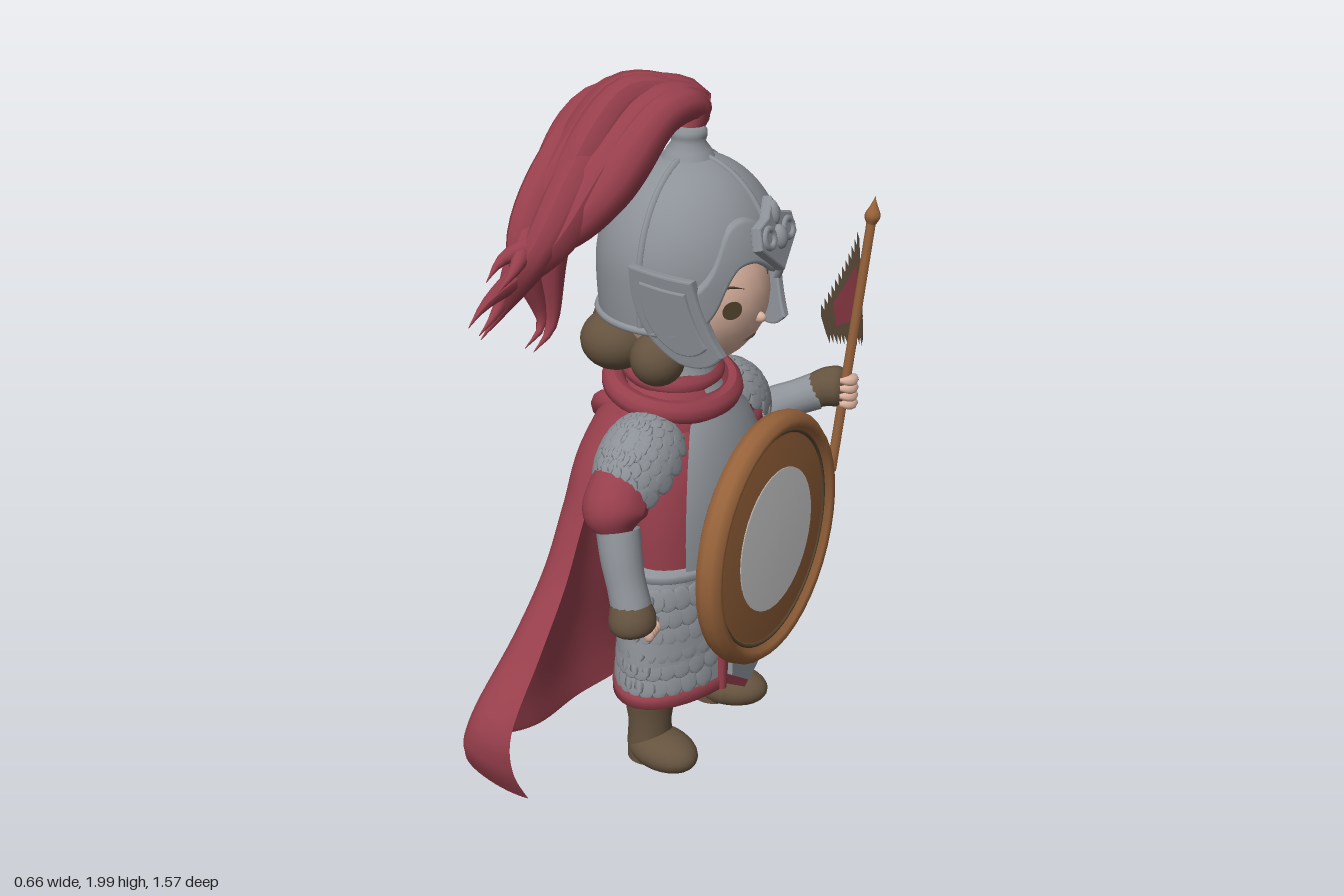
import * as THREE from 'three';
import { mergeGeometries } from 'three/addons/utils/BufferGeometryUtils.js';
import { ParametricGeometry } from 'three/addons/geometries/ParametricGeometry.js';

const V = (x, y, z) => new THREE.Vector3(x, y, z);
const lerp = THREE.MathUtils.lerp;

// Smooth lookup in a small table of numbers, t from 0 to 1
function sample(list, t) {
  const n = list.length - 1, f = Math.min(Math.max(t, 0), 1) * n, i = Math.min(Math.floor(f), n - 1), k = f - i;
  const a = list[Math.max(i - 1, 0)], b = list[i], c = list[i + 1], d = list[Math.min(i + 2, n)];
  return b + 0.5 * k * (c - a + k * (2 * a - 5 * b + 4 * c - d + k * (3 * (b - c) + d - a)));
}
// Tube along a smooth path with a changing radius
function taper(points, radii, seg = 20, sides = 10) {
  const curve = new THREE.CatmullRomCurve3(points.map(p => V(...p)));
  const g = new THREE.TubeGeometry(curve, seg, 1, sides), p = g.attributes.position, v = V();
  for (let i = 0; i < p.count; i++) {
    const t = Math.floor(i / (sides + 1)) / seg, c = curve.getPointAt(t);
    v.fromBufferAttribute(p, i).sub(c).multiplyScalar(sample(radii, t)).add(c);
    p.setXYZ(i, v.x, v.y, v.z);
  }
  g.computeVertexNormals();
  return g;
}
function lathe(pts, sz = 1, start = 0, len = Math.PI * 2) {
  return new THREE.LatheGeometry(pts.map(p => new THREE.Vector2(...p)), 40, start, len).scale(1, 1, sz);
}
const ball = (x, y, z, a, b = a, c = a) => new THREE.SphereGeometry(1, 24, 16).scale(a, b, c).translate(x, y, z);
const surface = (f, nu, nv) => new ParametricGeometry((u, v, t) => t.copy(f(u, v)), nu, nv);

// Helmet shell: a is the angle from the front, th the angle down from the top
const edgeY = a => {
  const k = Math.abs(a);
  return k > 1.2 ? 1.36 : sample([1.5, 1.535, 1.545, 1.52, 1.42, 1.37, 1.36], k / 1.2);
};
const edgeTheta = a => {
  const d = (edgeY(a) - 1.49) / 0.29;
  return d > 0 ? Math.acos(d) : Math.PI / 2 - d;
};
function dome(a, th, off = 0) {
  const over = Math.max(0, th - Math.PI / 2);
  const r = over ? 1 - 0.12 * over * over : Math.sin(th);
  const y = over ? -0.29 * over : (0.29 + off) * Math.cos(th);
  return V((0.265 + off) * r * Math.sin(a), 1.49 + y, 0.03 + (0.25 + off) * r * Math.cos(a));
}

export function createModel() {
  const mat = (name, color, double) => {
    const m = new THREE.MeshStandardMaterial({ color });
    m.name = name;
    if (double) m.side = THREE.DoubleSide;
    return m;
  };
  const red = mat('red cloth', 0x973f4c, true), steel = mat('steel', 0x8d9298, true);
  const brown = mat('brown leather', 0x65533f, true), wood = mat('wood', 0x96623a);
  const skin = mat('skin', 0xd8b09d), white = mat('shield face', 0xd6d6d6), dark = mat('dark brown', 0x54432f);

  const model = new THREE.Group(), figure = new THREE.Group();
  model.name = 'warrior';
  figure.name = 'figure';
  model.add(figure);
  figure.position.x = -0.05;
  model.rotation.y = Math.PI / 2;
  const add = (name, g, m) => {
    const mesh = new THREE.Mesh(g, m);
    mesh.name = name;
    figure.add(mesh);
    return mesh;
  };

  // Head and face
  add('head', ball(0, 1.4, 0.03, 0.215, 0.21, 0.22), skin);
  add('nose', ball(0, 1.355, 0.242, 0.014, 0.016, 0.022), skin);
  add('hair', ball(0, 1.44, 0, 0.235, 0.2, 0.22), brown);
  const faceZ = (x, y) => 0.03 + 0.22 * Math.sqrt(1 - (x / 0.215) ** 2 - ((y - 1.4) / 0.21) ** 2);
  const faceLine = (pts, r) => taper(pts.map(([x, y]) => [x, y, faceZ(x, y)]), [0.001, r, 0.001], 12, 6);
  for (const s of [-1, 1]) {
    const eye = add('eye', new THREE.CircleGeometry(0.03, 20).scale(1, 0.85, 1), dark), x = s * 0.11, y = 1.405;
    const n = V(x / 0.215 ** 2, 0, (faceZ(x, y) - 0.03) / 0.22 ** 2).normalize();
    eye.quaternion.setFromUnitVectors(V(0, 0, 1), n);
    eye.position.set(x, y, faceZ(x, y)).addScaledVector(n, 0.005);
    add('eyebrow', faceLine([[s * 0.065, 1.453], [s * 0.11, 1.465], [s * 0.15, 1.45]], 0.004), dark);
    add('sideBun', ball(s * 0.19, 1.26, 0.04, 0.075), brown);
    add('backBun', ball(s * 0.14, 1.27, -0.12, 0.1, 0.085, 0.1), brown);
  }
  add('mouth', faceLine([[-0.035, 1.292], [0, 1.295], [0.035, 1.292]], 0.0045), dark);
  add('middleBun', ball(0, 1.27, -0.17, 0.1, 0.085, 0.1), brown);

  // Helmet with brow band, rim and ridges
  const turn = u => (u - 0.5) * Math.PI * 2;
  add('helmet', surface((u, v) => dome(turn(u), v * edgeTheta(turn(u))), 64, 24), steel);
  add('browBand', surface((u, v) => {
    const a = (u - 0.5) * 2.6, e = edgeTheta(a);
    return dome(a, lerp(e - 0.4, e, v), 0.012 * Math.min(1, v * 8));
  }, 40, 10), steel);
  const arc = (n, f) => Array.from({ length: n + 1 }, (_, i) => f(i / n).toArray());
  add('helmetRim', taper(arc(48, u => dome(turn(u), edgeTheta(turn(u)), 0.002)), [0.01, 0.01], 120, 8), steel);
  for (let i = 0; i < 4; i++) {
    const a = i * Math.PI / 2;
    add('helmetRidge', taper(arc(12, u => dome(a, lerp(0.08, edgeTheta(a) - 0.04, u))), [0.009, 0.009], 24, 8), steel);
  }
  add('plumeSocket', lathe([[0.075, 1.76], [0.06, 1.79], [0.045, 1.81], [0.05, 1.825], [0.05, 1.84], [0.04, 1.85], [0, 1.85]])
    .translate(0, 0, 0.025), steel);

  // Brow emblem
  const leaf = new THREE.Shape([[0, 0.1], [0.035, 0.05], [0.09, 0.035], [0.1, -0.02], [0.05, -0.06], [0, -0.1],
    [-0.05, -0.06], [-0.1, -0.02], [-0.09, 0.035], [-0.035, 0.05]].map(p => new THREE.Vector2(...p)));
  const emblem = new THREE.ExtrudeGeometry(leaf, { depth: 0.015, bevelSize: 0.005, bevelThickness: 0.008, bevelSegments: 2 });
  const curls = [emblem, ball(0, -0.01, 0.025, 0.025, 0.035, 0.02), ball(0, 0.06, 0.02, 0.018, 0.035, 0.015)].map(g => g.toNonIndexed());
  for (const s of [-1, 1]) curls.push(new THREE.TorusGeometry(0.026, 0.01, 8, 20).translate(s * 0.055, 0, 0.022).toNonIndexed());
  add('browEmblem', mergeGeometries(curls).scale(0.95, 0.95, 1).rotateX(-0.22).translate(0, 1.595, 0.275), steel);

  // Flared cheek guards
  const guard = new THREE.Shape();
  guard.moveTo(0.03, 1.55);
  guard.quadraticCurveTo(0.1, 1.52, 0.17, 1.51);
  guard.quadraticCurveTo(0.19, 1.38, 0.23, 1.3);
  guard.quadraticCurveTo(0.19, 1.25, 0.13, 1.28);
  guard.quadraticCurveTo(0.02, 1.36, 0.03, 1.55);
  for (const s of [-1, 1]) for (const [k, d] of [[1, 0.018], [0.72, 0.026]]) {
    const g = new THREE.ExtrudeGeometry(guard, { depth: d, bevelSize: 0.006, bevelThickness: 0.006, bevelSegments: 2, curveSegments: 10 });
    const p = g.attributes.position;
    for (let i = 0; i < p.count; i++) {
      const z = lerp(0.12, p.getX(i), k), y = lerp(1.4, p.getY(i), k);
      p.setXYZ(i, s * (0.255 - 0.4 * (z - 0.05) + 0.15 * (y - 1.4) + p.getZ(i)), y, z);
    }
    g.computeVertexNormals();
    add('cheekGuard', g, steel);
  }

  // Plume of tapering strands with flicked tips
  const tips = [[-0.56, 1.54, -0.24], [-0.55, 1.4, -0.31], [-0.5, 1.35, -0.31], [-0.42, 1.31, -0.2], [-0.57, 1.52, -0.2],
    [-0.43, 1.32, -0.22], [-0.52, 1.37, -0.3]];
  tips.forEach(([x, y, z], i) => {
    const w = i / 3 - 1, o = (i % 3 - 1) * 0.035;
    add('plumeStrand', taper([[0, 1.82, 0.02], [0.04 + o * 0.6, 1.9, 0.01 - w * 0.03], [-0.07 + o, 1.94 - w * w * 0.04, -0.09 - w * 0.1],
      [-0.23 + o, 1.81 + o - w * w * 0.05, -0.15 - w * 0.085], [lerp(-0.34, x, 0.2) - o, lerp(1.65, y, 0.2), -0.2 - w * 0.06],
      [x + 0.08, y + 0.04, z], [x, y, z]], [0.03, 0.045, 0.055, 0.064, 0.06, 0.046, 0.024, 0.001], 32), red);
  });

  // Torso, breastplate and collar
  add('tunic', lathe([[0.26, 0.6], [0.27, 0.75], [0.255, 0.88], [0.23, 0.97], [0.17, 1.06], [0.08, 1.13]], 0.58).translate(0, 0, 0.045), red);
  add('breastplate', lathe([[0.285, 0.62], [0.292, 0.75], [0.275, 0.86], [0.245, 0.95], [0.2, 1.03], [0.15, 1.08]], 0.6, -0.95, 1.9)
    .translate(0, 0, 0.052), steel);
  add('neckCollar', lathe([[0.11, 1.12], [0.085, 1.16], [0.08, 1.2]], 0.9).translate(0, 0, 0.02), steel);
  add('mantle', lathe([[0.25, 1.045], [0.235, 1.085], [0.19, 1.135], [0.1, 1.18]], 0.68).translate(0, 0, -0.025), red);
  for (const [r, y, t, dip] of [[0.195, 1.115, 0.034, 0.035], [0.14, 1.165, 0.028, 0.025]])
    add('scarf', taper(arc(16, u => V(r * Math.sin(turn(u)), y - dip * Math.cos(turn(u)), -0.025 + r * 0.78 * Math.cos(turn(u)))), [t, t], 40), red);

  // Overlapping scales laid on a surface: f(u, v) gives the point and its outward direction
  function scales(name, f, rows, cols) {
    const list = [], q = new THREE.Quaternion();
    for (let r = 0; r < rows; r++) for (let c = 0; c < cols; c++) {
      const { p, n } = f((c + (r % 2 ? 0.75 : 0.25)) / cols, (r + 0.5) / rows);
      const m = new THREE.Matrix4().compose(p, q.setFromUnitVectors(V(0, 0, 1), n.normalize()), V(0.032, 0.036, 0.005));
      list.push(new THREE.SphereGeometry(1, 8, 6).applyMatrix4(m));
    }
    return add(name, mergeGeometries(list), steel);
  }

  // Armoured skirt, open at the front, with red hem
  const gap = 0.42, wrap = Math.PI * 2 - gap * 2, sz = 0.5, zc = 0.055;
  add('underSkirt', lathe([[0.33, 0.31], [0.3, 0.45], [0.26, 0.66]], sz).translate(0, 0, zc), red);
  add('armourSkirt', lathe([[0.355, 0.3], [0.345, 0.45], [0.315, 0.6], [0.285, 0.66]], sz, gap, wrap).translate(0, 0, zc), steel);
  add('skirtHem', lathe([[0.345, 0.265], [0.367, 0.27], [0.367, 0.3], [0.35, 0.31]], sz, gap, wrap).translate(0, 0, zc), red);
  add('waistBelt', lathe([[0.29, 0.63], [0.31, 0.64], [0.305, 0.66], [0.28, 0.67]], 0.55).translate(0, 0, zc), steel);
  scales('skirtScales', (u, v) => {
    const a = gap + 0.08 + u * (wrap - 0.16), r = lerp(0.353, 0.318, v);
    return { p: V(r * Math.sin(a), lerp(0.31, 0.62, v), zc + r * sz * Math.cos(a)), n: V(Math.sin(a) * sz, 0.1, Math.cos(a)) };
  }, 6, 28);
  for (const s of [-1, 1]) {
    const at = (r, y) => [s * r * Math.sin(gap), y, zc + r * sz * Math.cos(gap)];
    add('skirtEdge', taper([at(0.36, 0.27), at(0.35, 0.45), at(0.29, 0.66)], [0.014, 0.014], 12, 8), red);
  }
  for (const [k, z, m] of [[0, 0.2, red], [0.02, 0.215, steel]]) {
    const flap = new THREE.Shape([[-0.1 + k, 0.64], [-0.125 + k, 0.27 + k], [0, 0.19 + k * 1.4], [0.125 - k, 0.27 + k], [0.1 - k, 0.64]]
      .map(p => new THREE.Vector2(...p)));
    add('frontFlap', new THREE.ExtrudeGeometry(flap, { depth: 0.015, bevelEnabled: false }).translate(0, 0, z), m);
  }

  // Legs, boots and shoulder guards
  for (const s of [-1, 1]) {
    add('breeches', taper([[s * 0.15, 0.5, 0.03], [s * 0.17, 0.36, 0.03], [s * 0.185, 0.26, 0.02], [s * 0.19, 0.19, 0.015]],
      [0.1, 0.125, 0.13, 0.115, 0.06], 20, 20), red);
    const foot = ball(0, 0.04, 0.05, 0.08, 0.06, 0.12), p = foot.attributes.position;
    for (let i = 0; i < p.count; i++) p.setY(i, Math.max(0, p.getY(i)));
    foot.computeVertexNormals();
    const boot = mergeGeometries([foot, lathe([[0.066, 0], [0.066, 0.06], [0.062, 0.12], [0.072, 0.19], [0.076, 0.21], [0.05, 0.215]])]);
    add('boot', boot.rotateY(s * 0.22).translate(s * 0.19, 0, 0.005), brown);
    const pad = new THREE.Group(), size = V(0.165, 0.14, 0.115);
    pad.name = 'shoulderGuard';
    const shell = add('shoulderShell', new THREE.SphereGeometry(1, 28, 12, 0, Math.PI * 2, 0, 1.5).scale(...size.toArray()), steel);
    const plates = scales('shoulderScales', (u, v) => {
      const a = u * Math.PI * 2, t = lerp(1.45, 0.2, v), d = V(Math.sin(t) * Math.sin(a), Math.cos(t), Math.sin(t) * Math.cos(a));
      return { p: d.clone().multiply(size), n: d.divide(size) };
    }, 5, 16);
    pad.add(shell, plates);
    pad.position.set(s * 0.24, 0.955, 0.015);
    pad.rotation.z = -s * 0.6;
    figure.add(pad);
  }

  // Arms: right hangs down, left is raised to hold the banner
  add('rightSleeve', taper([[-0.25, 1.0, 0.01], [-0.335, 0.93, 0.01], [-0.38, 0.87, 0.015], [-0.4, 0.805, 0.035]], [0.07, 0.08, 0.088, 0.083, 0.03], 20, 16), red);
  add('leftSleeve', taper([[0.25, 1.0, 0.01], [0.32, 0.94, 0.0], [0.355, 0.89, 0.025], [0.395, 0.89, 0.06]], [0.07, 0.08, 0.086, 0.08, 0.03], 20, 16), red);
  add('rightBracer', taper([[-0.4, 0.84, 0.04], [-0.42, 0.75, 0.065], [-0.435, 0.64, 0.1]], [0.06, 0.058, 0.054, 0.056], 12, 16), steel);
  add('leftBracer', taper([[0.375, 0.88, 0.04], [0.44, 0.91, 0.1], [0.495, 0.94, 0.175]], [0.06, 0.06, 0.054, 0.056], 12, 16), steel);
  add('rightGlove', taper([[-0.435, 0.66, 0.09], [-0.44, 0.61, 0.105], [-0.44, 0.545, 0.115]], [0.05, 0.06, 0.066, 0.055, 0.001], 14, 16), brown);
  add('leftGlove', taper([[0.485, 0.935, 0.16], [0.508, 0.957, 0.21], [0.525, 0.967, 0.285]], [0.05, 0.055, 0.06, 0.055, 0.001], 14, 16), brown);
  for (let i = 0; i < 4; i++) {
    const y = 0.925 + i * 0.025;
    add('leftFinger', taper([[0.525, y, 0.27], [0.515, y, 0.288], [0.49, y, 0.293], [0.472, y, 0.265]], [0.008, 0.016, 0.016, 0.008], 10, 8), skin);
    add('rightFinger', ball(-0.392 - i * 0.011, 0.57 - i * 0.003, 0.148, 0.013, 0.02, 0.016), skin);
  }

  // Cape: rows of height, left and right reach, side depth and back depth; wings sweep back, then curl forward
  const capeY = [1.15, 0.98, 0.82, 0.66, 0.5, 0.34, 0.22, 0.11];
  const capeL = [0.18, 0.32, 0.39, 0.47, 0.59, 0.72, 0.735, 0.69], capeR = [0.18, 0.29, 0.32, 0.37, 0.44, 0.53, 0.59, 0.59];
  const capeSide = [0.0, -0.06, -0.08, -0.09, -0.1, -0.11, -0.11, -0.1], capeBack = [-0.17, -0.23, -0.23, -0.22, -0.22, -0.23, -0.23, -0.22];
  add('cape', surface((u, v) => {
    const s = u * 2 - 1, m = Math.abs(s), th = 1.45 + 0.4 * v, w = sample(s < 0 ? capeL : capeR, v);
    const round = (1 - Math.cos(s * th)) / (1 - Math.cos(th)), bend = lerp(round, m ** 6, v);
    const wing = v * v * Math.sin(Math.PI * m ** 1.6) ** 2, fold = 0.016 * v * Math.cos(s * 17) * (1 - m);
    const hem = 0.02 * (1 - s * s) + 0.05 * wing - 0.02 * m ** 8;
    return V(w * Math.sin(s * th) * (1 + fold), sample(capeY, v) + hem * v ** 3,
      lerp(sample(capeBack, v), sample(capeSide, v), bend) - 0.11 * wing + fold);
  }, 90, 40), red);
  for (let i = 0; i < 3; i++) {
    const y = 1.06 - i * 0.09, w = 0.18 + i * 0.04;
    add('capeSwag', taper([[-w, 1.1 - i * 0.03, -0.04], [-w * 0.75, y + 0.01, -0.16], [0, y - 0.06, -0.225], [w * 0.75, y + 0.01, -0.16], [w, 1.1 - i * 0.03, -0.04]],
      [0.01, 0.035, 0.042, 0.035, 0.01], 28), red);
  }

  // Round shield
  const shield = new THREE.Group();
  shield.name = 'shield';
  const ring = (name, pts, m) => shield.add(add(name, lathe(pts).rotateX(Math.PI / 2), m));
  ring('shieldRim', [[0.29, 0.01], [0.335, 0], [0.358, 0.012], [0.367, 0.035], [0.363, 0.06], [0.345, 0.08], [0.325, 0.076], [0.312, 0.055],
    [0.3, 0.06], [0.2, 0.066]], wood);
  ring('shieldFace', [[0.208, 0.064], [0.208, 0.07], [0, 0.071]], white);
  ring('shieldBack', [[0, 0], [0.315, -0.001]], red);
  shield.add(add('shieldGroove', new THREE.TorusGeometry(0.311, 0.006, 8, 60).translate(0, 0, 0.057), dark));
  shield.position.set(0, 0.702, 0.242);
  figure.add(shield);

  // Banner pole and jagged, blunt-ended pennant
  add('bannerPole', taper([[0.475, 0.705, 0.245], [0.52, 1.1, 0.276], [0.563, 1.48, 0.305]], [0.015, 0.014], 8, 10), wood);
  add('poleTip', taper([[0.561, 1.46, 0.304], [0.566, 1.5, 0.307], [0.571, 1.545, 0.31]], [0.012, 0.024, 0.012, 0.001], 12, 10), wood);
  const pennant = (inset, tooth, off) => surface((u, v) => {
    const k = lerp(inset * 0.4, 1 - inset * 1.4, u), m = lerp(inset, 1 - inset, v);
    const jag = Math.round(u * 24) % 2 ? tooth : 0;
    const x = lerp(lerp(0.553, 0.525, m), 0.825, k) + (1 - 2 * v) * jag * 0.6;
    const y = lerp(lerp(1.42, 1.135, m), lerp(1.04, 0.985, m), k) + (1 - 2 * v) * jag;
    return V(x, y, 0.3 - 0.27 * Math.max(0, (x - 0.525) / 0.305) ** 1.15 + 0.02 * (m - 0.5) + off);
  }, 24, 8);
  add('pennantBorder', pennant(0, 0.024, 0), brown);
  for (const off of [-0.006, 0.006]) add('pennantCloth', pennant(0.21, 0, off), red);
  return model;
}
